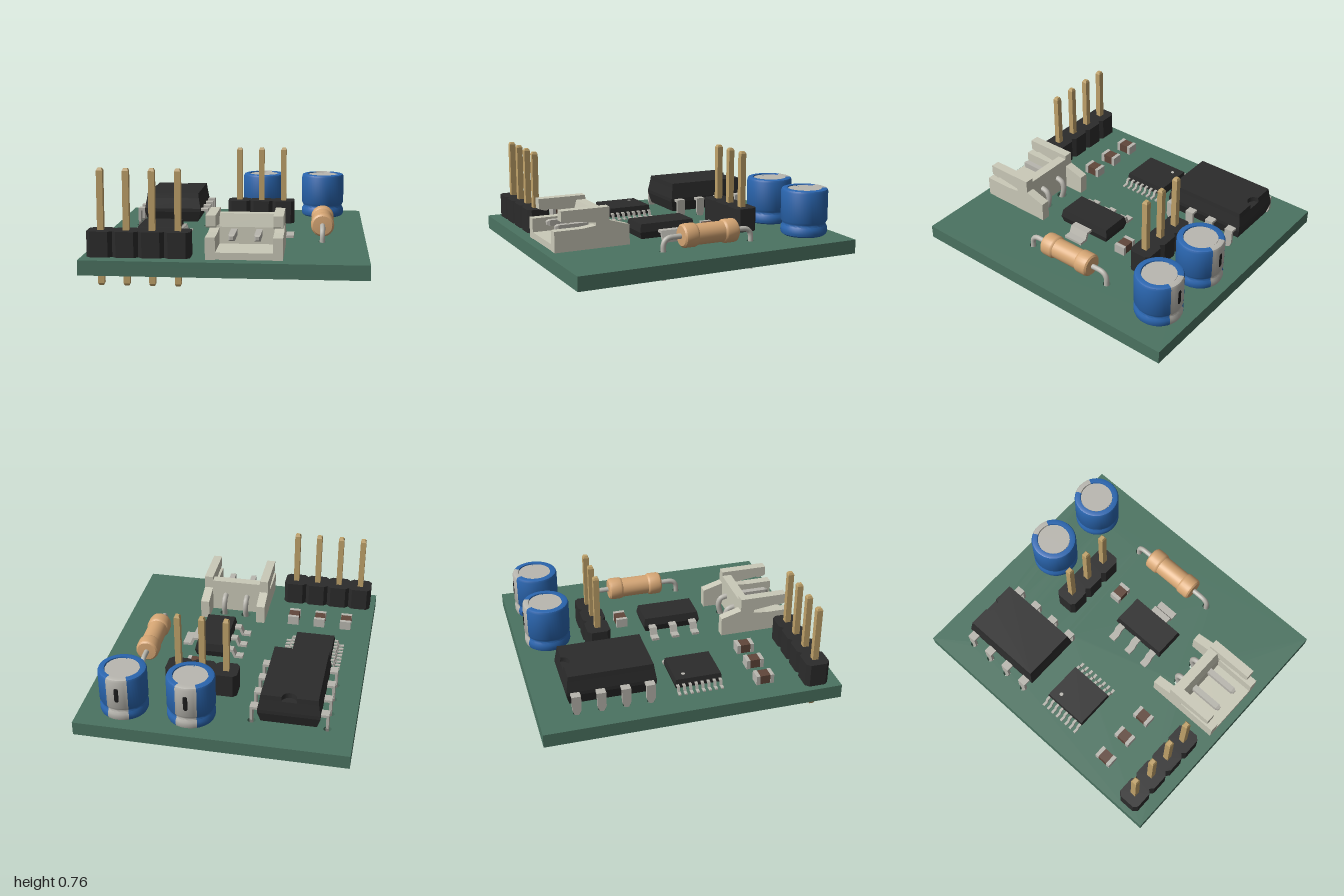
import * as THREE from 'three';
import { toCreasedNormals } from 'three/addons/utils/BufferGeometryUtils.js';

const mat = (color, side = THREE.FrontSide) => {
  const m = new THREE.MeshStandardMaterial({ side });
  m.color.set(color);
  return m;
};
const TOP = 0.21, BOTTOM = 0.115;

// Rectangular frustums stacked by levels [y, halfWidth, halfDepth]
function stack(levels) {
  const n = levels.length - 1;
  let g = new THREE.BoxGeometry(1, 1, 1, 1, n, 1);
  const p = g.attributes.position;
  for (let i = 0; i < p.count; i++) {
    const [y, w, d] = levels[Math.round((p.getY(i) + 0.5) * n)];
    p.setXYZ(i, Math.sign(p.getX(i)) * w, y, Math.sign(p.getZ(i)) * d);
  }
  g = g.toNonIndexed();
  g.computeVertexNormals();
  return g;
}
const polygon = pts => new THREE.Shape(pts.map(([a, b]) => new THREE.Vector2(a, b)));
const extrude = (shape, depth) => new THREE.ExtrudeGeometry(shape, { depth, bevelEnabled: false, curveSegments: 16 });
// Outline in (z, y), swept from x0 to x1
const extrudeX = (pts, x0, x1) => extrude(polygon(pts), x1 - x0).rotateY(-Math.PI / 2).translate(x1, 0, 0);
const lathe = (pts, seg, start, len) => toCreasedNormals(
  new THREE.LatheGeometry(pts.map(([a, b]) => new THREE.Vector2(a, b)), seg, start, len), 0.6);
// Gull-wing lead running along +x
const gull = (len, h, t, w) => extrude(polygon([
  [0, h], [0.45 * len, h], [0.6 * len, t], [len, t], [len, 0], [0.5 * len, 0], [0.35 * len, h - t], [0, h - t],
]), w).translate(0, 0, -w / 2);

export function createModel() {
  const root = new THREE.Group();
  const green = mat(0x4b7361), black = mat(0x2b2b2b), metal = mat(0xb8b6ae), gold = mat(0xc0a26a);
  const blue = mat(0x2a66b0), silver = mat(0xb9b7b0), ivory = mat(0xcac9b8), brown = mat(0x60463a);
  const tan = mat(0xd6a674), dark = mat(0x1c1c1c);
  const group = (name, x = 0, y = 0, z = 0) => {
    const g = new THREE.Group();
    g.name = name;
    g.position.set(x, y, z);
    root.add(g);
    return g;
  };
  const add = (parent, name, geo, material, x = 0, y = 0, z = 0) => {
    const m = new THREE.Mesh(geo, material);
    m.name = name;
    m.position.set(x, y, z);
    parent.add(m);
    return m;
  };

  const dipZ = [-0.75, -0.587, -0.424, -0.262], dipX = -0.48;
  const capX = [0.158, 0.608], capLeadZ = [-0.85, -0.71];
  const resX = 0.608, resZ = [-0.355, 0.296];
  const plugX = [0.045, 0.206];

  // Circuit board with through holes
  const board = polygon([[-0.9, -1], [0.9, -1], [0.9, 1], [-0.9, 1]]);
  const hole = (x, z, r = 0.026) => board.holes.push(new THREE.Path().absarc(x, -z, r, 0, Math.PI * 2, true));
  dipZ.forEach(z => [-0.727, -0.233].forEach(x => hole(x, z)));
  resZ.forEach(z => hole(resX, z));
  plugX.forEach(x => hole(x, 0.525, 0.035));
  capX.forEach(x => capLeadZ.forEach(z => hole(x, z, 0.018)));
  add(root, 'board', extrude(board, TOP - BOTTOM).rotateX(-Math.PI / 2), green, 0, BOTTOM, 0);

  // Pin headers
  function header(name, x0, count, z) {
    const pitch = 0.163, w = pitch / 2, d = 0.08, c = 0.025;
    const g = group(name, x0, 0, z);
    const outline = polygon([[-w, -d + c], [-w + c, -d], [w - c, -d], [w, -d + c], [w, d - c], [w - c, d], [-w + c, d], [-w, d - c]]);
    for (let i = 0; i < count; i++) {
      add(g, 'headerBlock', extrude(outline, 0.163).rotateX(-Math.PI / 2), black, i * pitch, 0.213, 0);
      add(g, 'headerPin', stack([[0.02, 0.013, 0.013], [0.035, 0.02, 0.02], [0.75, 0.02, 0.02], [0.765, 0.013, 0.013]]), gold, i * pitch);
    }
  }
  header('frontHeader', -0.781, 4, 0.84);
  header('rearHeader', -0.008, 3, -0.453);

  // Large dual in-line chip, with an end notch in its top layer
  const dip = group('largeChip', dipX, 0, -0.507);
  add(dip, 'chipBody', stack([[0.242, 0.182, 0.278], [0.315, 0.203, 0.297], [0.34, 0.203, 0.297], [0.415, 0.19, 0.285]]), black);
  const lid = new THREE.Shape();
  lid.moveTo(-0.19, -0.285).lineTo(0.19, -0.285).lineTo(0.19, 0.285).lineTo(0.05, 0.285);
  lid.absarc(0, 0.285, 0.05, 0, Math.PI, true);
  lid.lineTo(-0.19, 0.285);
  const lidGeo = extrude(lid, 0.034).rotateX(-Math.PI / 2);
  const lp = lidGeo.attributes.position;
  for (let i = 0; i < lp.count; i++) if (lp.getY(i) > 0.01) lp.setXYZ(i, lp.getX(i) * 0.975, lp.getY(i), lp.getZ(i) * 0.985);
  lidGeo.computeVertexNormals();
  add(dip, 'chipTop', lidGeo, black, 0, 0.415, 0);
  const leadOutline = [[-0.03, 0.337], [-0.03, 0.235], [-0.015, 0.2], [-0.015, 0.03], [-0.006, 0],
    [0.006, 0], [0.015, 0.03], [0.015, 0.2], [0.03, 0.235], [0.03, 0.337]];
  for (const s of [-1, 1]) for (const z of dipZ) {
    add(dip, 'chipLeg', extrudeX(leadOutline, -0.009, 0.009), metal, s * 0.247, 0, z + 0.507);
    add(dip, 'chipShoulder', new THREE.BoxGeometry(0.06, 0.018, 0.06), metal, s * 0.222, 0.328, z + 0.507);
  }

  // Small fine-pitch chip
  const small = group('smallChip', -0.521, TOP, 0.081);
  add(small, 'chipBody', stack([[0.012, 0.135, 0.155], [0.04, 0.14, 0.16], [0.078, 0.135, 0.155]]), black);
  add(small, 'indexDot', new THREE.CylinderGeometry(0.013, 0.013, 0.003, 16), silver, -0.077, 0.078, -0.09);
  for (const s of [-1, 1]) for (let i = 0; i < 8; i++) {
    const lead = add(small, 'chipLead', gull(0.08, 0.045, 0.01, 0.018), metal, s * 0.128, 0, (i - 3.5) * 0.0417);
    lead.rotation.y = s > 0 ? 0 : Math.PI;
  }

  // Voltage regulator with three leads and a heat tab
  const reg = group('regulator', 0.182, TOP, 0.107);
  add(reg, 'regulatorBody', stack([[0.008, 0.1, 0.19], [0.055, 0.112, 0.204], [0.11, 0.1, 0.194]]), black);
  for (const z of [-0.148, 0, 0.148]) add(reg, 'regulatorLead', gull(0.125, 0.065, 0.018, 0.05), metal, -0.1, 0, z).rotation.y = Math.PI;
  add(reg, 'heatTab', gull(0.13, 0.065, 0.018, 0.145), metal, 0.1, 0, 0);

  // Surface-mount chip capacitors
  for (const [x, z, turned] of [[-0.711, 0.515, 1], [-0.518, 0.515, 1], [-0.325, 0.515, 1], [0.255, -0.228, 0]]) {
    const g = group('chipCapacitor', x, TOP + 0.033, z);
    g.rotation.y = turned * Math.PI / 2;
    add(g, 'ceramic', new THREE.BoxGeometry(0.074, 0.062, 0.074), brown);
    for (const s of [-1, 1]) add(g, 'endCap', new THREE.BoxGeometry(0.026, 0.066, 0.08), silver, s * 0.048);
  }

  // Can capacitors
  const sleeve = [[0.0, 0], [0.14, 0], [0.154, 0.01], [0.159, 0.025], [0.159, 0.055], [0.15, 0.07], [0.147, 0.08],
    [0.15, 0.09], [0.159, 0.105], [0.159, 0.303], [0.153, 0.317], [0.143, 0.321], [0.117, 0.321], [0.113, 0.305]];
  for (const x of capX) {
    const g = group('canCapacitor', x, 0.214, -0.778), a = 0.46;
    add(g, 'sleeve', lathe(sleeve, 44, Math.PI + a, 2 * (Math.PI - a)), blue);
    add(g, 'polarityStripe', lathe(sleeve, 8, Math.PI - a, 2 * a), silver);
    const mark = add(g, 'polarityMark', new THREE.CapsuleGeometry(0.015, 0.08, 4, 12), dark, 0, 0.205, -0.158);
    mark.scale.z = 0.25;
    add(g, 'canTop', new THREE.CylinderGeometry(0.115, 0.115, 0.02, 40), silver, 0, 0.297, 0);
    for (let i = 0; i < 4; i++) {
      const t = i * Math.PI / 2, o = t + Math.PI / 4;
      add(g, 'ventQuarter', new THREE.CylinderGeometry(0.109, 0.109, 0.006, 10, 1, false, t, Math.PI / 2),
        silver, Math.sin(o) * 0.004, 0.312, Math.cos(o) * 0.004);
    }
    for (const z of capLeadZ) add(g, 'canLead', new THREE.CylinderGeometry(0.014, 0.014, 0.13, 12), metal, 0, -0.059, z + 0.778);
  }

  // Axial resistor with bent leads
  const resistor = group('resistor', resX, 0.298, 0);
  const half = [[0, 0.203], [0.03, 0.203], [0.066, 0.2], [0.077, 0.19], [0.08, 0.175], [0.08, 0.115], [0.077, 0.105], [0.07, 0.098]];
  const bodyPts = [...half.map(([r, y]) => [r, -y]), ...half.slice().reverse()];
  add(resistor, 'resistorBody', lathe(bodyPts, 32).rotateX(Math.PI / 2), tan, 0, 0, -0.033);
  for (const z of resZ) {
    const s = Math.sign(z), b = 0.065, v = (y, zz) => new THREE.Vector3(0, y, zz);
    const path = new THREE.CurvePath();
    path.add(new THREE.LineCurve3(v(0, z - s * 0.15), v(0, z - s * b)));
    path.add(new THREE.QuadraticBezierCurve3(v(0, z - s * b), v(0, z), v(-b, z)));
    add(resistor, 'leadBend', new THREE.TubeGeometry(path, 20, 0.018, 12), metal);
    add(resistor, 'lead', new THREE.CylinderGeometry(0.018, 0.018, 0.213, 12), metal, 0, -0.1715, z);
  }

  // Wire connector: two slotted side walls, a floor, a back wall and two bent pins
  const plug = group('connector');
  const wall = [[0.422, 0.216], [0.945, 0.216], [0.945, 0.356], [0.757, 0.356], [0.66, 0.367], [0.66, 0.388],
    [0.826, 0.41], [0.848, 0.4], [0.898, 0.415], [0.898, 0.484], [0.564, 0.484], [0.564, 0.394], [0.422, 0.351]];
  for (const x of [-0.113, 0.305]) add(plug, 'sideWall', extrudeX(wall, x, x + 0.062), ivory);
  add(plug, 'backWall', extrudeX([[0.564, 0.216], [0.66, 0.216], [0.652, 0.37], [0.63, 0.455], [0.564, 0.455]], -0.051, 0.305), ivory);
  add(plug, 'floor', new THREE.BoxGeometry(0.356, 0.044, 0.38), ivory, 0.127, 0.24, 0.755);
  for (const x of plugX) {
    add(plug, 'contact', stack([[0, 0.02, 0.02], [0.25, 0.02, 0.02], [0.27, 0.011, 0.011]]).rotateX(Math.PI / 2), metal, x, 0.34, 0.612);
    const pts = [[0.34, 0.64], [0.34, 0.56], [0.325, 0.52], [0.28, 0.505], [0.21, 0.52], [0.13, 0.543], [0.02, 0.517]];
    const curve = new THREE.CatmullRomCurve3(pts.map(([y, z]) => new THREE.Vector3(x, y, z)));
    add(plug, 'contactTail', new THREE.TubeGeometry(curve, 30, 0.02, 10), metal);
    add(plug, 'tailTip', new THREE.SphereGeometry(0.02, 10, 8), metal, x, 0.02, 0.517);
  }
  return root;
}
